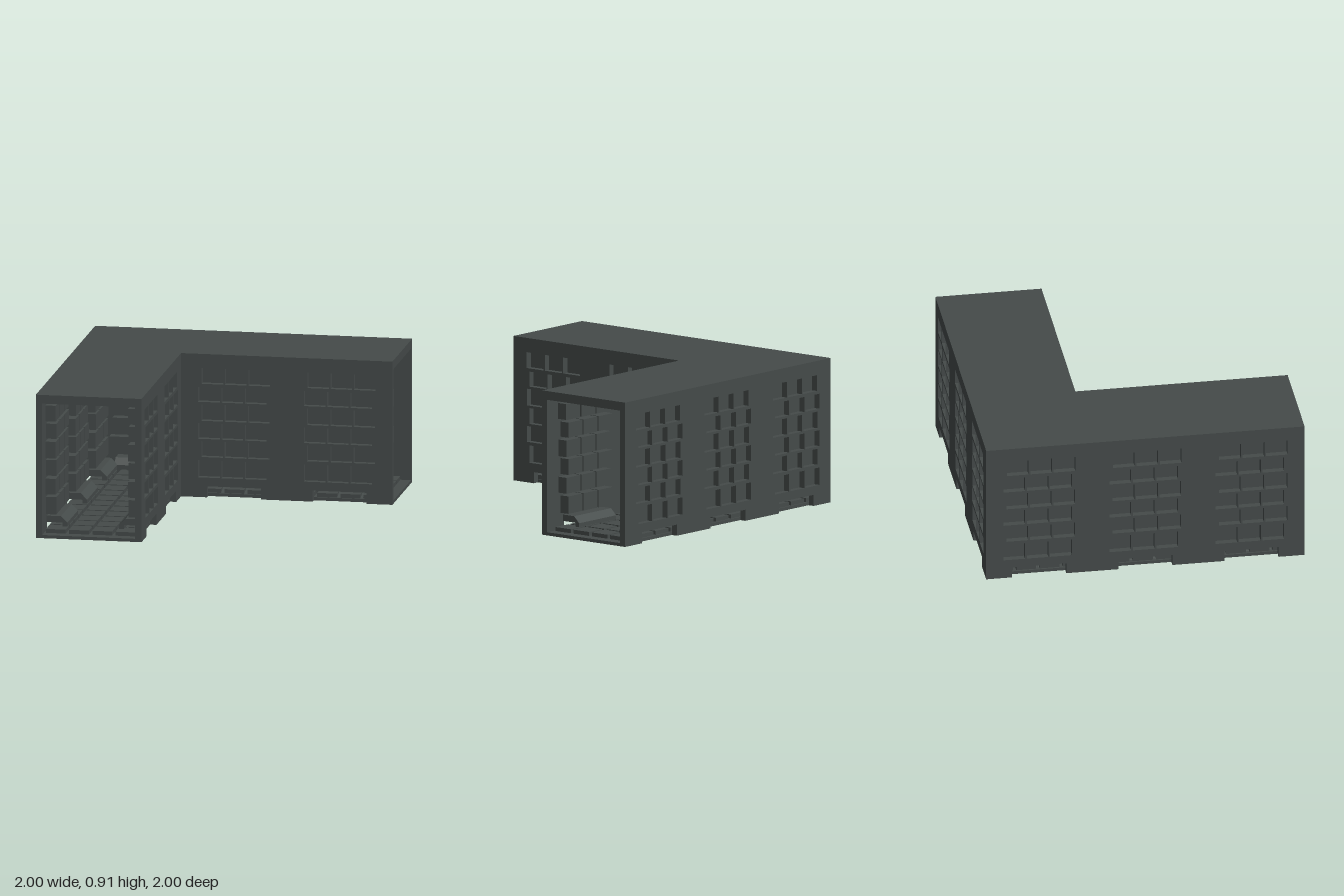
import * as THREE from 'three';

const ROOF = 0.91, CEIL = 0.855, THICK = 0.04, IN = -1 / 3;
const BRICK_DEPTH = 0.065;
const slate = new THREE.MeshStandardMaterial({ color: 0x454b4a });
slate.name = 'dark slate';

// Brick rows: bottom, top, sideways shift
const ROWS = [
  [0.125, 0.235, -0.01], [0.255, 0.355, 0.01], [0.37, 0.47, -0.01],
  [0.485, 0.59, 0.01], [0.605, 0.7, -0.01], [0.72, 0.82, 0.012],
];

function add(parent, geometry, name, x = 0, y = 0, z = 0) {
  const mesh = new THREE.Mesh(geometry, slate);
  mesh.name = name;
  mesh.position.set(x, y, z);
  parent.add(mesh);
  return mesh;
}

const polygon = (points) => new THREE.Shape(points.map(([x, y]) => new THREE.Vector2(x, y)));
const extrude = (shape, depth) => new THREE.ExtrudeGeometry(shape, { depth, bevelEnabled: false });

function cutRect(shape, cx, cy, w, h) {
  shape.holes.push(new THREE.Path([
    [cx - w / 2, cy - h / 2], [cx - w / 2, cy + h / 2],
    [cx + w / 2, cy + h / 2], [cx + w / 2, cy - h / 2],
  ].map(([x, y]) => new THREE.Vector2(x, y))));
}

// Extrudes a (depth, height) profile along the wall
function along(profile, width) {
  return extrude(polygon(profile), width).rotateY(-Math.PI / 2).translate(width / 2, 0, 0);
}

// A wall with recessed bricks and low vents; local +z points indoors
function makeWall(name, from, to, centres, flip) {
  const wall = new THREE.Group();
  wall.name = name;
  const outline = [[from, 0]];
  for (const c of centres) {
    outline.push([c - 0.17, 0], [c - 0.17, 0.07], [c + 0.17, 0.07], [c + 0.17, 0]);
  }
  outline.push([to, 0], [to, CEIL], [from, CEIL]);
  const shape = polygon(outline);

  for (const c of centres) {
    for (const [low, high, shift] of ROWS) {
      for (let i = -1; i <= 1; i++) {
        const x = c + flip * (shift + i * 0.147), y = (low + high) / 2;
        cutRect(shape, x, y, 0.136, high - low);
        add(wall, new THREE.BoxGeometry(0.136, high - low, BRICK_DEPTH), 'brick',
          x, y, THICK + BRICK_DEPTH / 2);
      }
    }
    // Vent hood indoors and two sloped sills behind the opening
    add(wall, along([[0.04, 0.07], [0.14, 0.07], [0.14, 0.01], [0.17, 0.01],
      [0.17, 0.07], [0.13, 0.11], [0.04, 0.11]], 0.36), 'ventHood', c);
    for (const side of [-1, 1]) {
      add(wall, along([[0.04, 0.01], [0.13, 0.01], [0.13, 0.045]], 0.13), 'ventSill', c + side * 0.07);
    }
  }
  add(wall, extrude(shape, THICK), 'wallPanel');
  return wall;
}

// L-shaped plan; plan y becomes -z
function planL(outer, inner) {
  return polygon([[outer, -1], [inner, -1], [inner, -inner], [1, -inner], [1, -outer], [outer, -outer]]);
}

export function createModel() {
  const model = new THREE.Group();
  model.name = 'cornerCorridor';

  // Roof slab
  add(model, extrude(planL(-1, IN), ROOF - CEIL).rotateX(-Math.PI / 2), 'roof', 0, CEIL, 0);

  // Floor slab with recessed tiles
  const floor = planL(-1 + THICK, IN - THICK);
  const pitch = 0.1465;
  for (let i = 0; i < 13; i++) {
    for (let j = 0; j < 13; j++) {
      if (i > 3 && j > 3) continue;
      const x = -0.96 + (i + 0.5) * pitch, z = -0.96 + (j + 0.5) * pitch;
      cutRect(floor, x, -z, 0.125, 0.125);
      add(model, new THREE.BoxGeometry(0.125, 0.025, 0.125), 'floorTile', x, 0.0325, z);
    }
  }
  add(model, extrude(floor, 0.02).rotateX(-Math.PI / 2), 'floor');

  // Walls: both outer sides and both sides of the inner corner
  const bay = 2 / 3;
  const back = makeWall('backWall', -1 + THICK, 1, [-bay, 0, bay], 1);
  back.position.z = -1;
  const outer = makeWall('rightWall', -1, 1, [-bay, 0, bay], -1);
  outer.rotation.y = Math.PI / 2;
  outer.position.x = -1;
  const innerFront = makeWall('innerFrontWall', -1, -IN, [-bay, 0], -1);
  innerFront.rotation.y = Math.PI;
  innerFront.position.z = IN;
  const innerSide = makeWall('innerSideWall', IN, 1, [0, bay], 1);
  innerSide.rotation.y = -Math.PI / 2;
  innerSide.position.x = IN;
  model.add(back, outer, innerFront, innerSide);

  return model;
}
